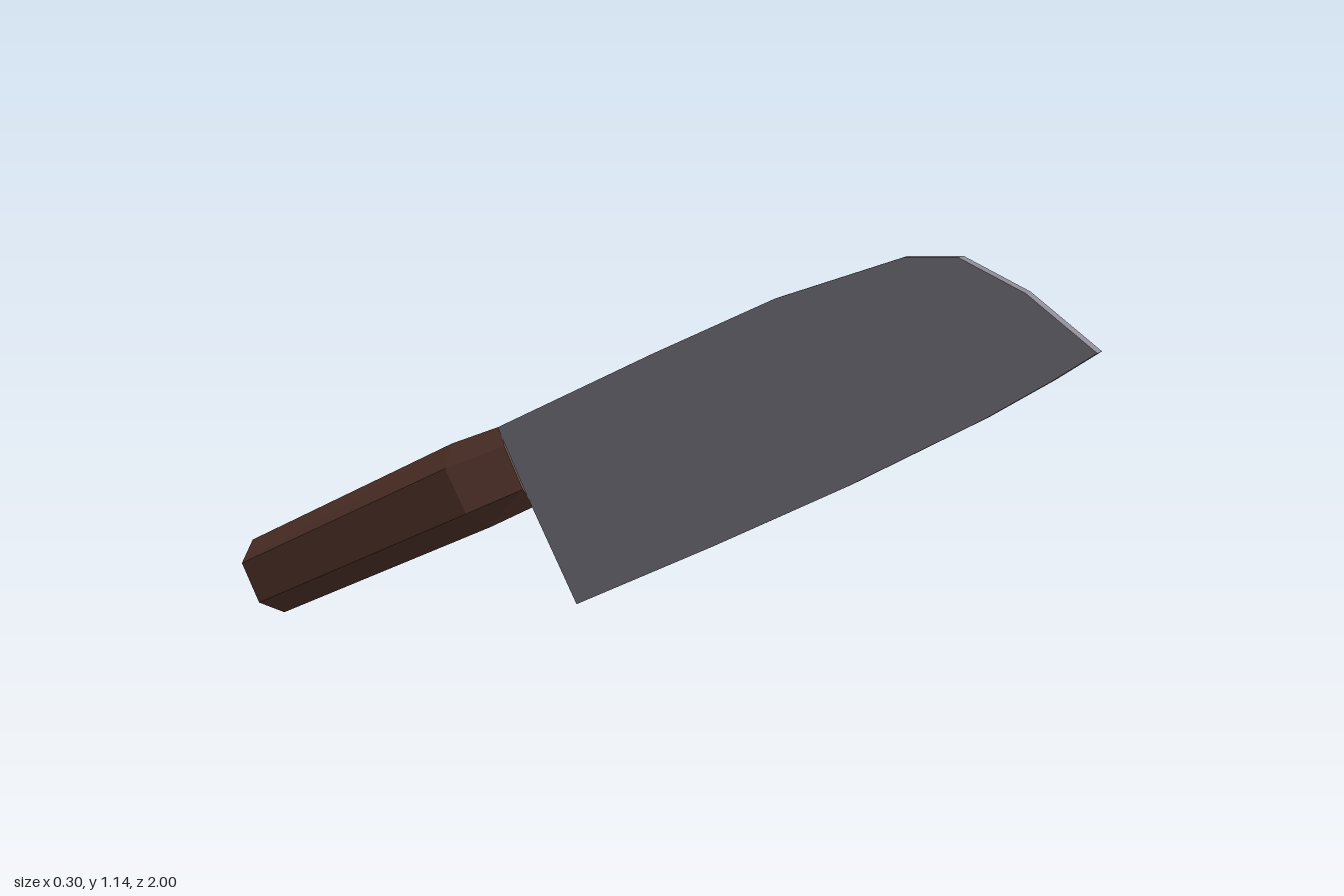
import * as THREE from 'three';

// The knife lies in one slightly turned plane: its centre x for any (z, y)
const planeX = (z, y) => 0.0044 + 0.1115 * z + 0.0203 * y;

const steel = new THREE.MeshStandardMaterial({ color: 0x8a8894, flatShading: true });
const wood = new THREE.MeshStandardMaterial({ color: 0x5c3a30, flatShading: true });

// Blade: side outline (z, y) extruded to a thin plate, then laid into the plane
function makeBlade() {
  const outline = [
    [-0.075, 0.27], [0.25, 0.485], [0.536, 0.68], [0.8, 0.872], [0.92, 0.968], [0.998, 1.035],
    [0.86, 1.11], [0.73, 1.147], [0.622, 1.126], [0.365, 1.0], [0.097, 0.837],
    [-0.279, 0.6], [-0.19, 0.45],
  ];
  const thickness = 0.014;
  const shape = new THREE.Shape(outline.map(([z, y]) => new THREE.Vector2(-z, y)));
  const geo = new THREE.ExtrudeGeometry(shape, { depth: thickness, bevelEnabled: false });
  geo.translate(0, 0, -thickness / 2).rotateY(Math.PI / 2);
  const pos = geo.attributes.position;
  for (let i = 0; i < pos.count; i++) {
    pos.setX(i, pos.getX(i) + planeX(pos.getZ(i), pos.getY(i)));
  }
  geo.computeVertexNormals();
  const blade = new THREE.Mesh(geo, steel);
  blade.name = 'blade';
  return blade;
}

// Handle: hexagonal rings from the butt to the narrow collar at the blade
function makeHandle() {
  const sections = [
    { top: [-0.997, 0.158], bottom: [-0.906, 0.006], half: 0.051 },
    { top: [-0.407, 0.532], bottom: [-0.305, 0.374], half: 0.044 },
    { top: [-0.279, 0.6], bottom: [-0.19, 0.45], half: 0.011 },
  ];
  // Each corner: side (-1..1) and height fraction from bottom to top
  const corners = [[0, 1], [1, 0.77], [1, 0.23], [0, 0], [-1, 0.23], [-1, 0.77]];
  const n = corners.length;
  const points = [];
  for (const { top, bottom, half } of sections) {
    for (const [side, f] of corners) {
      const z = THREE.MathUtils.lerp(bottom[0], top[0], f);
      const y = THREE.MathUtils.lerp(bottom[1], top[1], f);
      points.push(planeX(z, y) + side * half, y, z);
    }
  }
  const faces = [];
  for (let k = 0; k < sections.length - 1; k++) {
    for (let j = 0; j < n; j++) {
      const a = k * n + j, b = k * n + (j + 1) % n;
      faces.push(a, a + n, b + n, a, b + n, b);
    }
  }
  // End caps
  const last = (sections.length - 1) * n;
  for (let j = 1; j < n - 1; j++) {
    faces.push(0, j, j + 1, last, last + j + 1, last + j);
  }
  const indexed = new THREE.BufferGeometry();
  indexed.setAttribute('position', new THREE.Float32BufferAttribute(points, 3));
  indexed.setIndex(faces);
  const geo = indexed.toNonIndexed();
  geo.computeVertexNormals();
  const handle = new THREE.Mesh(geo, wood);
  handle.name = 'handle';
  return handle;
}

export function createModel() {
  const knife = new THREE.Group();
  knife.name = 'kitchenKnife';
  knife.add(makeBlade(), makeHandle());
  return knife;
}
